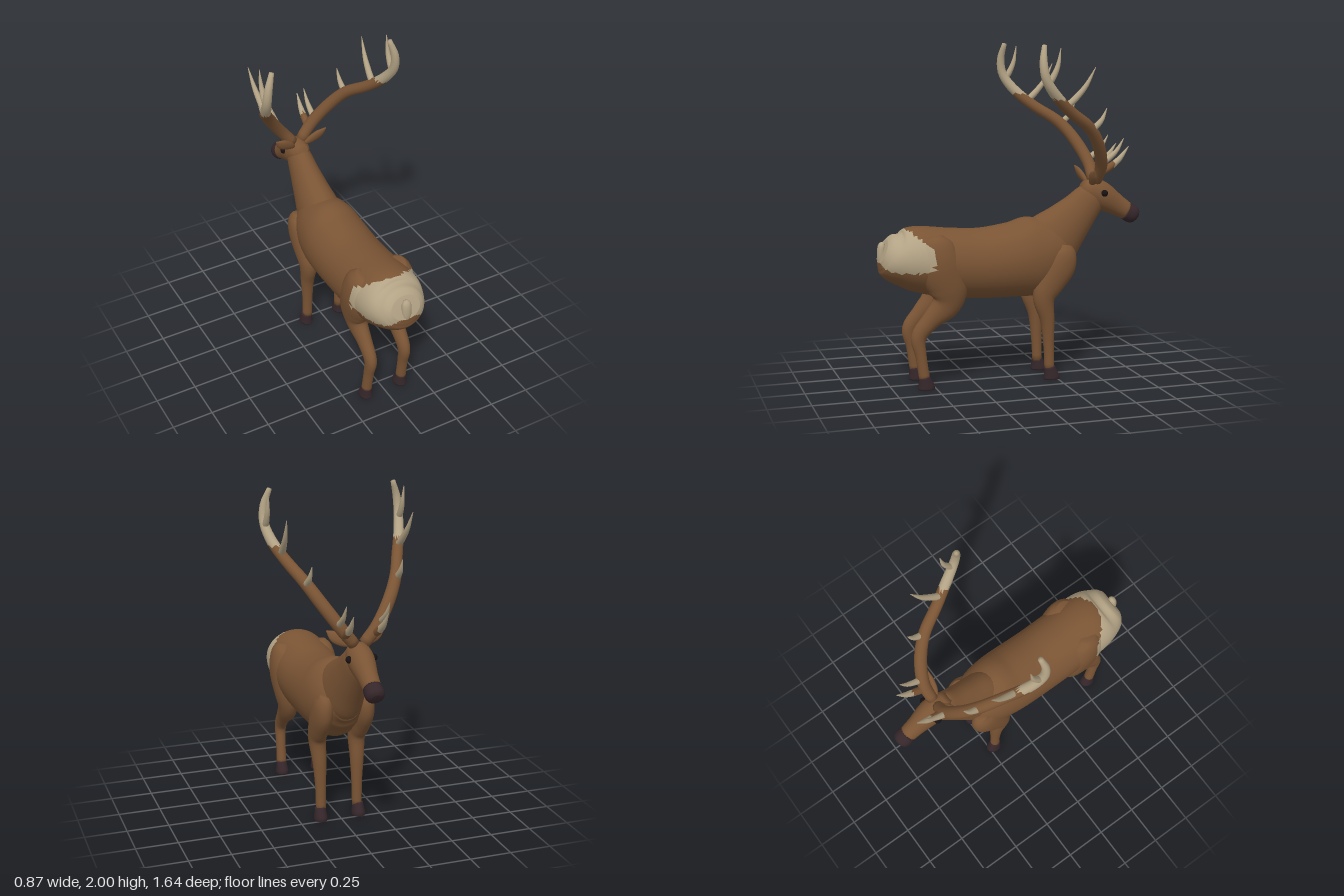
import * as THREE from 'three';

const mat = (name, color) => {
  const m = new THREE.MeshStandardMaterial({ color });
  m.name = name;
  return m;
};

export function createModel() {
  const coat = mat('coat brown', 0x7a5434);
  const cream = mat('cream', 0xb3a385);
  const horn = mat('hoof dark', 0x35262a);
  const eyeBlack = mat('eye black', 0x171213);
  const root = new THREE.Group();

  // Smooth tube through sections [x, y, z, half width, half depth];
  // paint(point) picks the second material for a triangle.
  function loft(name, sections, materials, { seg = 16, sub = 4, paint = null } = {}) {
    const path = new THREE.CatmullRomCurve3(sections.map(s => new THREE.Vector3(s[0], s[1], s[2])), false, 'catmullrom', 0.5);
    const size = new THREE.CatmullRomCurve3(sections.map(s => new THREE.Vector3(s[3], s[4], 0)), false, 'catmullrom', 0.5);
    const rings = (sections.length - 1) * sub;
    const pts = [];
    const side = new THREE.Vector3(), up = new THREE.Vector3();
    for (let i = 0; i <= rings; i++) {
      const c = path.getPoint(i / rings), r = size.getPoint(i / rings), t = path.getTangent(i / rings);
      side.set(1, 0, 0).addScaledVector(t, -t.x).normalize();
      up.crossVectors(t, side);
      for (let j = 0; j < seg; j++) {
        const a = j / seg * Math.PI * 2;
        const p = c.clone().addScaledVector(side, Math.cos(a) * r.x).addScaledVector(up, Math.sin(a) * r.y);
        p.y = Math.max(0, p.y);
        pts.push(p);
      }
    }
    const start = pts.push(path.getPoint(0)) - 1, end = pts.push(path.getPoint(1)) - 1;
    const lists = [[], []];
    const mid = new THREE.Vector3();
    const tri = (a, b, c) => {
      mid.copy(pts[a]).add(pts[b]).add(pts[c]).divideScalar(3);
      lists[paint && paint(mid) ? 1 : 0].push(a, b, c);
    };
    for (let j = 0; j < seg; j++) {
      const k = (j + 1) % seg;
      for (let i = 0; i < rings; i++) {
        const a = i * seg, b = a + seg;
        tri(a + j, a + k, b + j);
        tri(a + k, b + k, b + j);
      }
      tri(start, k, j);
      tri(end, rings * seg + j, rings * seg + k);
    }
    const g = new THREE.BufferGeometry().setFromPoints(pts);
    g.setIndex(lists.flat());
    if (paint) {
      g.addGroup(0, lists[0].length, 0);
      g.addGroup(lists[0].length, lists[1].length, 1);
    }
    g.computeVertexNormals();
    const mesh = new THREE.Mesh(g, materials);
    mesh.name = name;
    root.add(mesh);
    return mesh;
  }

  // Pale rump patch, with a brown tongue along the spine
  const rump = p => {
    const x = Math.min(1, Math.abs(p.x) / 0.2);
    return p.z > 0.52 + 0.13 * (1 - x * x) && p.y > 0.77 - 0.07 * Math.min(1, x * 1.33);
  };

  // Trunk
  loft('body', [
    [0, 0.81, 0.785, 0.09, 0.07], [0, 0.80, 0.76, 0.13, 0.115], [0, 0.775, 0.70, 0.17, 0.155],
    [0, 0.76, 0.60, 0.195, 0.19], [0, 0.725, 0.40, 0.20, 0.205], [0, 0.71, 0.20, 0.20, 0.21],
    [0, 0.72, 0, 0.20, 0.225], [0, 0.735, -0.12, 0.19, 0.24], [0, 0.745, -0.22, 0.17, 0.205],
    [0, 0.74, -0.31, 0.13, 0.14], [0, 0.73, -0.36, 0.07, 0.07],
  ], [coat, cream], { seg: 48, sub: 6, paint: rump });

  loft('tail', [
    [0, 0.86, 0.775, 0.012, 0.01], [0, 0.84, 0.788, 0.028, 0.022],
    [0, 0.78, 0.792, 0.03, 0.024], [0, 0.74, 0.79, 0.022, 0.02], [0, 0.73, 0.788, 0.008, 0.008],
  ], cream, { seg: 12 });

  // Neck, head and muzzle
  loft('neck', [
    [0, 0.76, -0.19, 0.11, 0.16], [0, 0.82, -0.25, 0.125, 0.185], [0, 0.91, -0.345, 0.105, 0.15],
    [0, 1.0, -0.435, 0.085, 0.118], [0, 1.08, -0.505, 0.07, 0.095], [0, 1.12, -0.53, 0.05, 0.06],
  ], coat, { seg: 24 });
  loft('head', [
    [0, 1.15, -0.45, 0.035, 0.035], [0, 1.125, -0.49, 0.066, 0.072], [0, 1.085, -0.57, 0.075, 0.086],
    [0, 1.025, -0.67, 0.058, 0.066], [0, 0.98, -0.745, 0.051, 0.054],
  ], coat, { seg: 24 });
  loft('nose', [
    [0, 0.985, -0.735, 0.053, 0.056], [0, 0.965, -0.77, 0.057, 0.058],
    [0, 0.951, -0.793, 0.05, 0.05], [0, 0.943, -0.806, 0.03, 0.032],
  ], horn, { seg: 20 });

  for (const s of [1, -1]) {
    const label = s > 0 ? 'left' : 'right';
    const mirror = list => list.map(([x, ...rest]) => [x * s, ...rest]);

    // Hind and front legs
    loft(label + 'HindLeg', mirror([
      [0.115, 0.90, 0.505, 0.04, 0.05], [0.125, 0.84, 0.495, 0.075, 0.105], [0.126, 0.73, 0.47, 0.089, 0.135],
      [0.125, 0.60, 0.425, 0.075, 0.12], [0.118, 0.50, 0.435, 0.058, 0.09], [0.115, 0.41, 0.525, 0.043, 0.057],
      [0.115, 0.315, 0.60, 0.036, 0.046], [0.118, 0.20, 0.588, 0.031, 0.033], [0.12, 0.06, 0.568, 0.031, 0.032],
    ]), [coat, cream], { seg: 24, sub: 5, paint: rump });
    loft(label + 'FrontLeg', mirror([
      [0.12, 0.81, -0.30, 0.03, 0.035], [0.125, 0.76, -0.295, 0.053, 0.075], [0.128, 0.69, -0.265, 0.06, 0.098],
      [0.128, 0.60, -0.21, 0.058, 0.09], [0.124, 0.50, -0.165, 0.052, 0.068], [0.118, 0.36, -0.19, 0.042, 0.043],
      [0.115, 0.20, -0.20, 0.032, 0.032], [0.115, 0.06, -0.205, 0.03, 0.03],
    ]), coat, { seg: 20 });

    // Hooves
    [[0.57, 'Hind'], [-0.205, 'Front']].forEach(([z, end]) => loft(label + end + 'Hoof', mirror([
      [0.12, 0.075, z, 0.032, 0.032], [0.12, 0.04, z - 0.007, 0.037, 0.042],
      [0.12, 0.012, z - 0.012, 0.041, 0.05], [0.12, 0, z - 0.012, 0.039, 0.047],
    ]), horn));

    // Ear
    loft(label + 'Ear', mirror([
      [0.04, 1.165, -0.495, 0.014, 0.012], [0.08, 1.19, -0.485, 0.032, 0.018],
      [0.13, 1.22, -0.475, 0.033, 0.016], [0.17, 1.253, -0.465, 0.004, 0.004],
    ]), coat, { seg: 12 });

    // Eye
    const eye = new THREE.Mesh(new THREE.SphereGeometry(0.021, 16, 12), eyeBlack);
    eye.name = label + 'Eye';
    eye.position.set(0.072 * s, 1.105, -0.568);
    root.add(eye);

    // Antler beam with a pale tip
    loft(label + 'Antler', mirror([
      [0.03, 1.18, -0.53, 0.034, 0.034], [0.11, 1.28, -0.53, 0.037, 0.037], [0.20, 1.41, -0.475, 0.037, 0.037],
      [0.27, 1.52, -0.39, 0.035, 0.035], [0.33, 1.61, -0.26, 0.033, 0.033], [0.38, 1.70, -0.155, 0.031, 0.031],
      [0.407, 1.80, -0.08, 0.027, 0.027], [0.402, 1.90, -0.062, 0.023, 0.023], [0.372, 1.995, -0.077, 0.014, 0.014],
    ]), [coat, cream], { seg: 14, paint: p => p.y > 1.69 });

    // Tines: base, tip, base radius; each sweeps forward, then up
    [
      [[0.09, 1.235, -0.535], [0.10, 1.39, -0.71], 0.024],
      [[0.125, 1.295, -0.525], [0.125, 1.44, -0.667], 0.019],
      [[0.27, 1.50, -0.39], [0.265, 1.63, -0.50], 0.02],
      [[0.35, 1.65, -0.22], [0.37, 1.87, -0.387], 0.02],
      [[0.405, 1.78, -0.09], [0.405, 1.98, -0.163], 0.019],
    ].forEach(([a, b, r], i) => {
      const rows = [0, 0.25, 0.6, 1].map(t => {
        const sag = Math.sin(t * Math.PI) * 0.014;
        const w = r * (1 - t * t * 0.9);
        return [a[0] + (b[0] - a[0]) * t, a[1] + (b[1] - a[1]) * t - sag, a[2] + (b[2] - a[2]) * t - sag, w, w];
      });
      loft(label + 'Tine' + (i + 1), mirror(rows), [coat, cream], { seg: 10, paint: p => i > 0 || p.z < -0.615 });
    });
  }
  return root;
}
